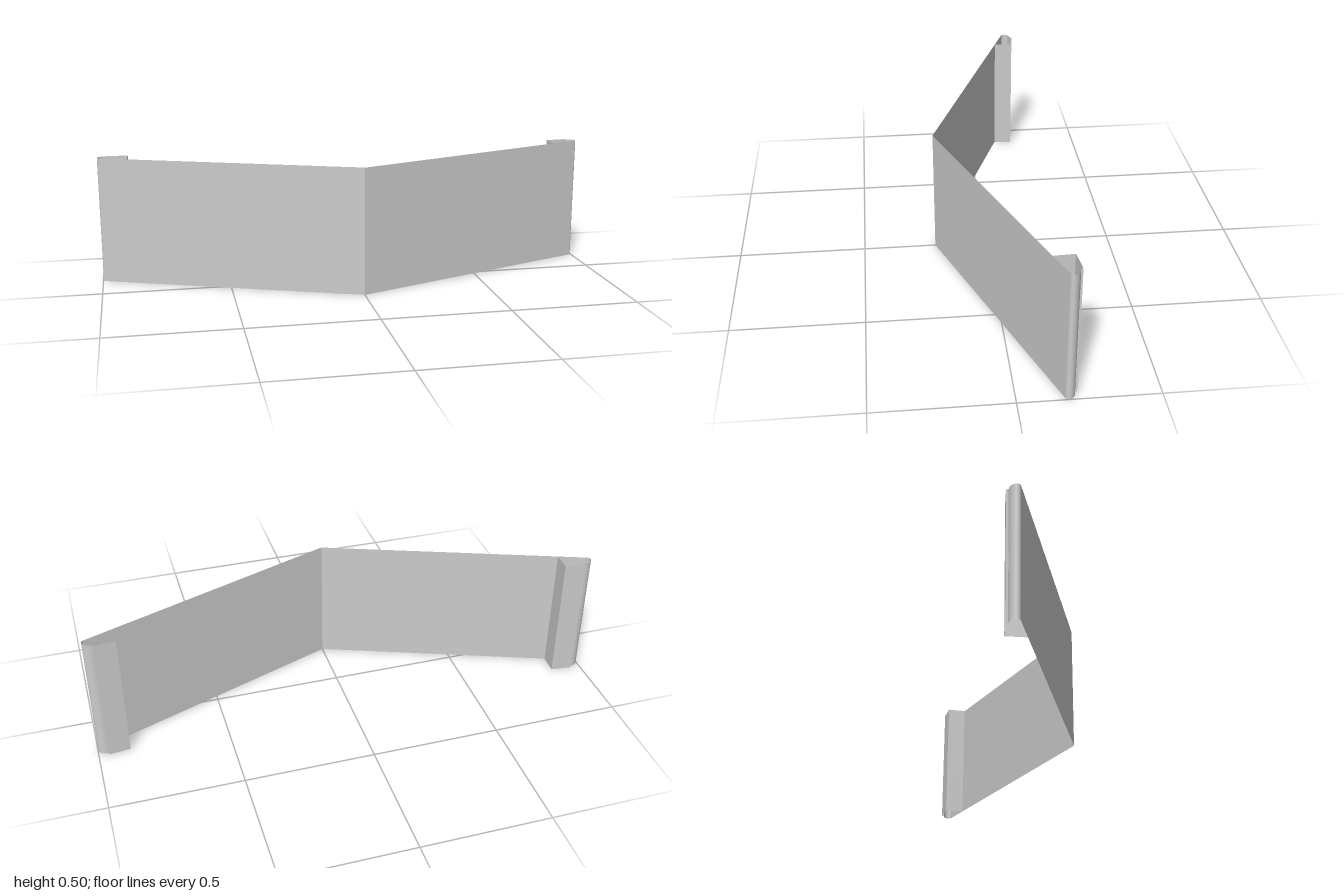
import * as THREE from 'three';

const HEIGHT = 0.505;
const material = new THREE.MeshStandardMaterial({ color: 0xcccccc, side: THREE.DoubleSide });

// Upright thin sheet that follows a plan path of [x, z] points
function sheet(name, path, smooth = false) {
  const positions = [];
  const index = [];
  path.forEach(([x, z], i) => {
    positions.push(x, 0, z, x, HEIGHT, z);
    if (i > 0) {
      const a = (i - 1) * 2;
      index.push(a, a + 2, a + 1, a + 1, a + 2, a + 3);
    }
  });
  let geometry = new THREE.BufferGeometry();
  geometry.setAttribute('position', new THREE.Float32BufferAttribute(positions, 3));
  geometry.setIndex(index);
  if (!smooth) geometry = geometry.toNonIndexed();
  geometry.computeVertexNormals();
  const mesh = new THREE.Mesh(geometry, material);
  mesh.name = name;
  return mesh;
}

// Rounded outer edge, swept from the panel end to the clip plate
const curl = new THREE.CubicBezierCurve(
  new THREE.Vector2(0.992, -0.167),
  new THREE.Vector2(1.005, -0.173),
  new THREE.Vector2(1.0, -0.2),
  new THREE.Vector2(0.97, -0.203)
).getPoints(12).map((p) => [p.x, p.y]);

export function createModel() {
  const group = new THREE.Group();
  group.name = 'bentPanel';

  for (const [side, label] of [[1, 'left'], [-1, 'right']]) {
    const mirror = (path) => path.map(([x, z]) => [x * side, z]);
    const half = new THREE.Group();
    half.name = `${label}Half`;
    half.add(
      // Wide flat face, sloping back from the centre crease
      sheet('facePanel', mirror([[0, 0.212], [0.992, -0.167]])),
      sheet('roundedEdge', mirror(curl), true),
      // Small step, back plate and return to the face
      sheet('backClip', mirror([
        [0.97, -0.203], [0.962, -0.203], [0.962, -0.212],
        [0.879, -0.202], [0.883, -0.126],
      ]))
    );
    group.add(half);
  }
  return group;
}
